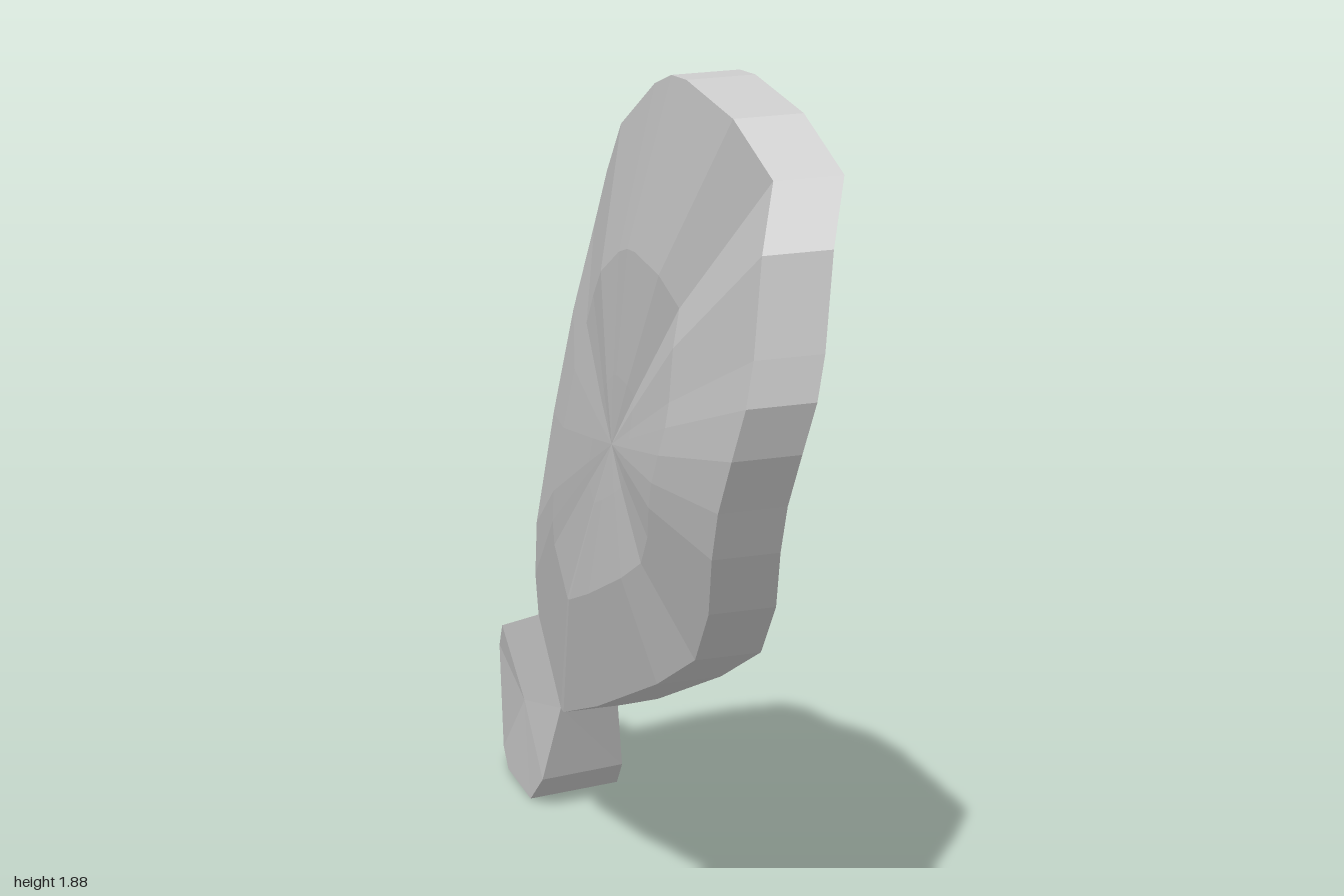
import * as THREE from 'three';

// Rim points [x, y, z] of the right-hand (+x) face, running clockwise seen from +x
const bladeRim = [
  [0.12, 0.28, -0.52], [0.08, 0.31, -0.40], [0.035, 0.42, -0.10], [-0.01, 0.60, 0.32],
  [-0.03, 0.72, 0.55], [-0.07, 0.86, 0.70], [-0.11, 1.00, 0.80], [-0.13, 1.11, 0.87],
  [-0.14, 1.23, 0.95], [-0.135, 1.34, 1.00], [-0.12, 1.43, 1.00], [-0.10, 1.62, 0.99],
  [-0.04, 1.74, 0.91], [-0.07, 1.84, 0.80], [-0.06, 1.88, 0.57], [-0.06, 1.88, 0.50],
  [-0.05, 1.85, 0.40], [-0.035, 1.74, 0.20], [0.02, 1.61, 0.00], [0.055, 1.47, -0.15],
  [0.06, 1.26, -0.28], [0.07, 1.00, -0.42], [0.10, 0.70, -0.60], [0.12, 0.56, -0.66],
  [0.13, 0.46, -0.68],
];
const stemRim = [
  [0.13, 0.46, -0.68], [0.21, 0.37, -0.90], [0.22, 0.29, -0.96], [0.265, 0.04, -0.95],
  [0.25, 0.02, -0.88], [0.20, 0.01, -0.71], [0.17, 0.09, -0.61], [0.12, 0.28, -0.52],
];
const stemBackRim = [
  [0.00, 0.45, -0.70], [0.00, 0.36, -0.93], [0.02, 0.29, -1.00], [0.02, 0.04, -0.98],
  [0.00, 0.01, -0.90], [-0.02, 0.00, -0.71], [-0.03, 0.08, -0.61], [-0.02, 0.28, -0.52],
];

// Slab with two faceted faces fanned to hubs and an open-ended edge wall.
// rings: list of [fraction towards hub, right bulge, left bulge]
function slab(name, right, left, hubR, hubL, rings, material) {
  const pos = [];
  const tri = (a, b, c) => pos.push(...a, ...b, ...c);
  const quad = (a, b, c, d) => { tri(a, b, c); tri(a, c, d); };
  const n = right.length;

  function face(rim, hub, side) {
    const loops = rings.map((r) => rim.map((p) => [
      p[0] + (hub[0] - p[0]) * r[0] + r[side],
      p[1] + (hub[1] - p[1]) * r[0],
      p[2] + (hub[2] - p[2]) * r[0],
    ]));
    loops.forEach((loop, k) => {
      const inner = loops[k + 1];
      for (let i = 0; i < n; i++) {
        const j = (i + 1) % n;
        // The left face is wound the other way round
        const [a, b] = side === 1 ? [j, i] : [i, j];
        if (inner) quad(loop[a], loop[b], inner[b], inner[a]);
        else tri(loop[a], loop[b], hub);
      }
    });
  }
  face(right, hubR, 1);
  face(left, hubL, 2);
  for (let i = 0; i < n - 1; i++) quad(right[i], right[i + 1], left[i + 1], left[i]);

  const geometry = new THREE.BufferGeometry();
  geometry.setAttribute('position', new THREE.Float32BufferAttribute(pos, 3));
  geometry.computeVertexNormals();
  const mesh = new THREE.Mesh(geometry, material);
  mesh.name = name;
  return mesh;
}

export function createModel() {
  const group = new THREE.Group();
  group.name = 'paddleLeaf';
  const material = new THREE.MeshStandardMaterial({ color: 0xcccccc, flatShading: true });

  // Left rim of the blade: the right rim shifted through the thickness
  const bladeBackRim = bladeRim.map(([x, y, z]) => [x - 0.135, y - 0.005, z - 0.02]);
  // Both parts meet at the waist
  bladeBackRim[0] = stemBackRim[stemBackRim.length - 1];
  bladeBackRim[bladeBackRim.length - 1] = stemBackRim[0];

  // Broad blade, thickest near its hub
  group.add(slab('blade', bladeRim, bladeBackRim, [0.03, 1.07, 0.15], [-0.18, 1.07, 0.15],
    [[0, 0, 0], [0.45, 0.015, -0.035], [0.8, 0.01, -0.015]], material));

  // Short thick stem
  group.add(slab('stem', stemRim, stemBackRim, [0.2, 0.22, -0.78], [-0.005, 0.22, -0.78],
    [[0, 0, 0]], material));
  return group;
}
